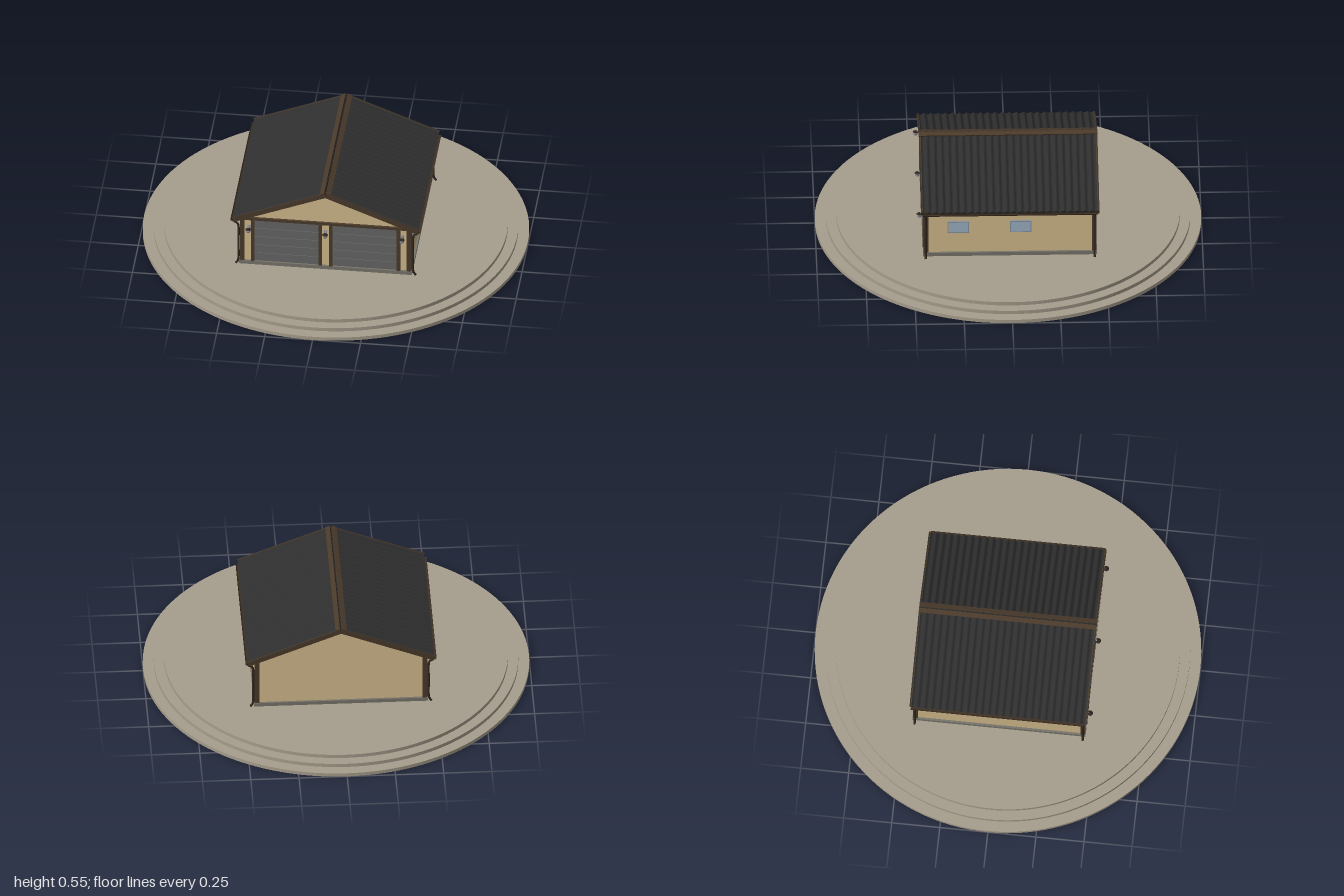
import * as THREE from 'three';

const mat = (color, extra = {}) => new THREE.MeshStandardMaterial({ color, ...extra });
const M = {
  stone: mat(0xa69d8c), plinth: mat(0x77746a), wall: mat(0xbfa97f), brown: mat(0x4a3a2a),
  roof: mat(0x2e2e2e), door: mat(0x666666), glass: mat(0x9db2c6), pipe: mat(0x33281f), lamp: mat(0x8792a0),
};
const W = 0.432, FLOOR = 0.09, EAVE = 0.345, APEX = 0.527; // wall core half size and heights
const RIDGE = 0.536, SLOPE = Math.atan2(0.19, 0.48), RUN = 0.516, ROOF_Z = 0.46;

export function createModel() {
  const model = new THREE.Group();
  const add = (name, geo, material, x = 0, y = 0, z = 0, parent = model) => {
    const m = new THREE.Mesh(geo, material);
    m.name = name;
    m.position.set(x, y, z);
    parent.add(m);
    return m;
  };
  const group = (name) => {
    const g = new THREE.Group();
    g.name = name;
    model.add(g);
    return g;
  };
  // box given by its bounds
  const box = (name, material, x0, x1, y0, y1, z0, z1, parent) =>
    add(name, new THREE.BoxGeometry(x1 - x0, y1 - y0, z1 - z0), material,
      (x0 + x1) / 2, (y0 + y1) / 2, (z0 + z1) / 2, parent);

  // stepped round base
  [1, 0.943, 0.89].forEach((r, i) =>
    add('baseStep' + (i + 1), new THREE.CylinderGeometry(r, r, 0.0197, 128), M.stone, 0, 0.0098 + i * 0.0197, 0));

  box('plinth', M.plinth, -0.45, 0.45, 0.07, FLOOR, -0.45, 0.45);

  // wall core with gables
  const outline = new THREE.Shape([[-W, FLOOR], [W, FLOOR], [W, EAVE], [0, APEX], [-W, EAVE]]
    .map(([x, y]) => new THREE.Vector2(x, y)));
  add('wallCore', new THREE.ExtrudeGeometry(outline, { depth: 2 * W, bevelEnabled: false }), M.wall, 0, 0, -W);

  // overlapping siding boards; gable boards are narrowed to the roof line
  const halfWidth = (y) => (y < EAVE ? W : W * Math.max(0, (APEX - y) / (APEX - EAVE)));
  const pitch = 0.0213;
  const board = (y0, h) => {
    const s = new THREE.Shape();
    s.moveTo(0, 0).lineTo(0.007, 0).lineTo(0.002, h).lineTo(0, h).closePath();
    const g = new THREE.ExtrudeGeometry(s, { depth: 2, bevelEnabled: false });
    g.rotateY(-Math.PI / 2).translate(1, 0, 0);
    const p = g.attributes.position;
    for (let i = 0; i < p.count; i++) p.setX(i, Math.sign(p.getX(i)) * halfWidth(y0 + p.getY(i)));
    g.computeVertexNormals();
    return g;
  };
  for (let side = 0; side < 4; side++) {
    const siding = group(['frontSiding', 'leftSiding', 'backSiding', 'rightSiding'][side]);
    siding.rotation.y = side * Math.PI / 2;
    const top = side % 2 ? EAVE : APEX;
    for (let y = FLOOR; y < top - 0.006; y += pitch)
      add('sidingBoard', board(y, Math.min(pitch, top - y)), M.wall, 0, y, W, siding);
  }

  // corner posts and side wall plates
  for (const sx of [-1, 1]) {
    for (const sz of [-1, 1])
      add('cornerPost', new THREE.BoxGeometry(0.024, EAVE - FLOOR, 0.024), M.brown,
        sx * 0.435, (EAVE + FLOOR) / 2, sz * 0.435);
    add('wallPlate', new THREE.BoxGeometry(0.016, 0.014, 0.88), M.brown, sx * 0.437, 0.338, 0);
  }
  box('frontLintel', M.brown, -0.445, 0.445, 0.343, 0.357, 0.425, 0.449);

  // garage doors with sectional panels and frames
  for (const s of [-1, 1]) {
    const door = group(s > 0 ? 'leftGarageDoor' : 'rightGarageDoor');
    const c = s * 0.204, n = 5, h = (0.344 - FLOOR) / n;
    box('doorBacking', M.door, c - 0.17, c + 0.17, FLOOR, 0.344, 0.42, 0.44, door);
    for (let i = 0; i < n; i++)
      box('doorPanel', M.door, c - 0.17, c + 0.17, FLOOR + i * h + 0.002, FLOOR + (i + 1) * h - 0.002, 0.43, 0.444, door);
    for (const e of [-1, 1])
      box('doorJamb', M.brown, c + e * 0.176 - 0.009, c + e * 0.176 + 0.009, FLOOR, 0.346, 0.425, 0.451, door);
  }

  // side windows
  for (const s of [-1, 1])
    for (const z of [0.267, -0.055]) {
      add('windowPane', new THREE.BoxGeometry(0.012, 0.058, 0.1), M.glass, s * 0.437, 0.241, z);
      for (const e of [-1, 1]) {
        add('windowRail', new THREE.BoxGeometry(0.016, 0.005, 0.112), M.lamp, s * 0.437, 0.241 + e * 0.031, z);
        add('windowStile', new THREE.BoxGeometry(0.016, 0.066, 0.005), M.lamp, s * 0.437, 0.241, z + e * 0.053);
      }
    }

  // corrugated roof sheet profile across the building depth
  const ribs = 25, steps = ribs * 8;
  const profile = new THREE.Shape();
  profile.moveTo(-ROOF_Z, 0).lineTo(ROOF_Z, 0);
  for (let i = 0; i <= steps; i++)
    profile.lineTo(ROOF_Z - (2 * ROOF_Z * i) / steps, 0.009 + 0.005 * Math.cos((i / 8) * 2 * Math.PI));
  profile.closePath();
  const sheet = new THREE.ExtrudeGeometry(profile, { depth: RUN, bevelEnabled: false });
  const sn = Math.sin(SLOPE), cs = Math.cos(SLOPE);
  const slopeFrame = new THREE.Matrix4().makeBasis(
    new THREE.Vector3(0, 0, -1), new THREE.Vector3(sn, cs, 0), new THREE.Vector3(cs, -sn, 0)).setPosition(0, RIDGE, 0);
  for (const turn of [0, 1]) {
    const half = group(turn ? 'rightRoofHalf' : 'leftRoofHalf');
    half.rotation.y = turn * Math.PI;
    add('roofSheet', sheet.clone().applyMatrix4(slopeFrame), M.roof, 0, 0, 0, half);
    // parts lying on the slope: length along the slope, thickness, depth
    const onSlope = (name, u0, u1, h0, h1, z0, z1) => {
      const g = new THREE.BoxGeometry(z1 - z0, h1 - h0, u1 - u0).translate((z0 + z1) / 2, (h0 + h1) / 2, (u0 + u1) / 2);
      add(name, g.applyMatrix4(slopeFrame), M.brown, 0, 0, 0, half);
    };
    for (const e of [-1, 1])
      onSlope('bargeBoard', 0, RUN, -0.012, 0.013, e * 0.457 - 0.005, e * 0.457 + 0.005);
    onSlope('ridgeCap', 0, 0.025, 0.008, 0.017, -0.462, 0.462);
    onSlope('eaveFascia', RUN - 0.012, RUN, -0.012, 0.004, -0.455, 0.455);
  }

  // gutters and downpipes
  const trough = new THREE.CylinderGeometry(0.011, 0.011, 0.91, 12, 1, true, -Math.PI / 2, Math.PI);
  trough.rotateX(Math.PI / 2);
  const gutterMat = mat(0x3d2f23, { side: THREE.DoubleSide });
  for (const s of [-1, 1]) {
    add('gutter', trough, gutterMat, s * 0.484, 0.345, 0);
    for (const z of [-0.437, 0.437]) {
      const path = new THREE.CatmullRomCurve3([[0.484, 0.338], [0.48, 0.325], [0.46, 0.312], [0.455, 0.295],
        [0.455, 0.2], [0.455, 0.095], [0.458, 0.08], [0.469, 0.064]].map(([x, y]) => new THREE.Vector3(s * x, y, z)));
      add('downpipe', new THREE.TubeGeometry(path, 48, 0.006, 8), M.pipe);
    }
  }

  // wall lamps over the door posts
  for (const x of [-0.4, 0, 0.4]) {
    const lamp = group('wallLamp');
    lamp.position.set(x, 0.29, 0.44);
    box('lampPlate', M.lamp, -0.007, 0.007, -0.004, 0.018, -0.002, 0.005, lamp);
    box('lampArm', M.lamp, -0.003, 0.003, 0.01, 0.015, 0, 0.03, lamp);
    add('lampCap', new THREE.ConeGeometry(0.015, 0.012, 16), M.pipe, 0, 0.014, 0.029, lamp);
    add('lampGlobe', new THREE.SphereGeometry(0.012, 16, 12), M.lamp, 0, 0, 0.029, lamp);
  }
  return model;
}
